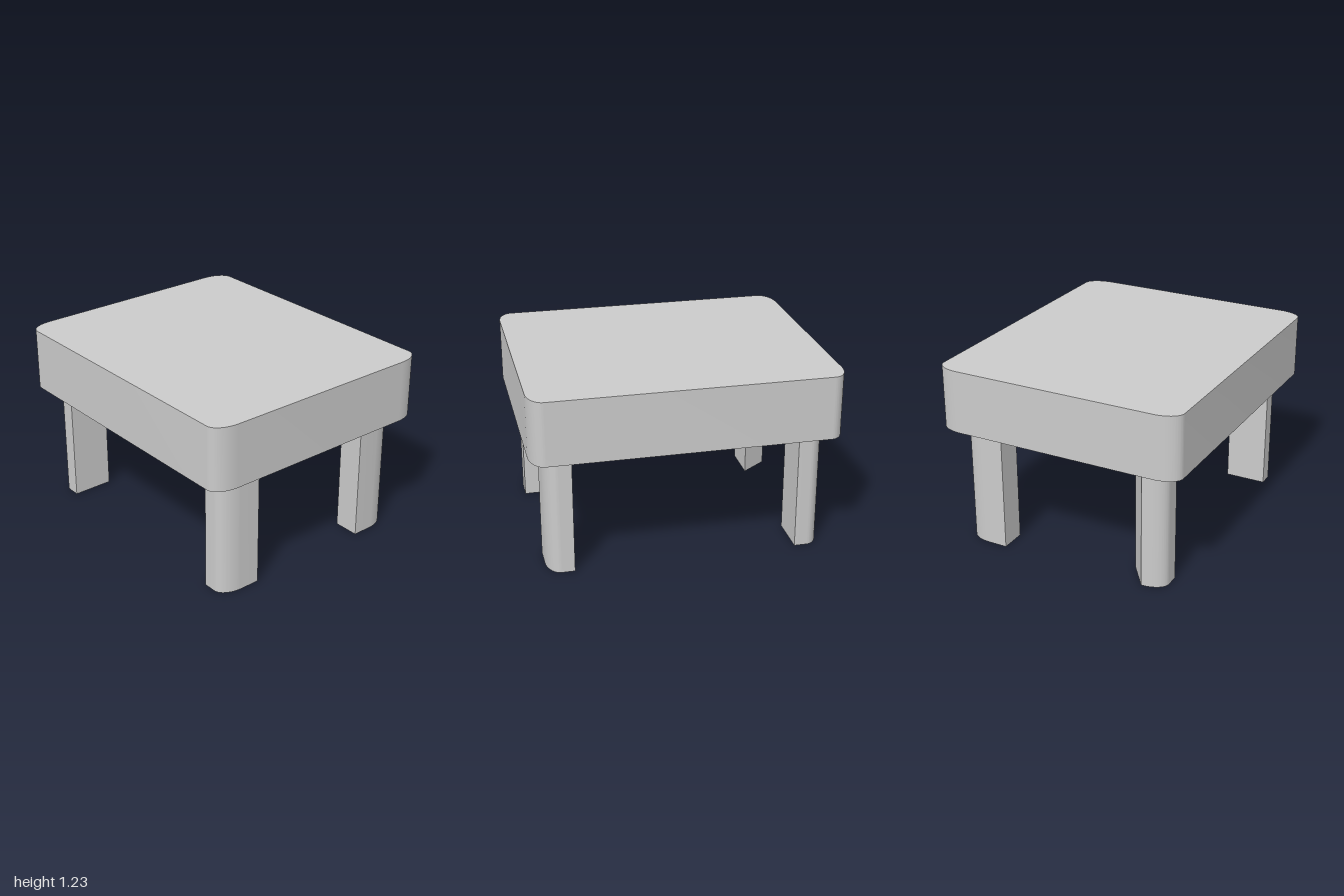
import * as THREE from 'three';
import { toCreasedNormals } from 'three/addons/utils/BufferGeometryUtils.js';

const material = new THREE.MeshStandardMaterial({ color: 0xcccccc });

// Corners run counter-clockwise, as [x sign, z sign].
const CORNERS = [[1, 1], [-1, 1], [-1, -1], [1, -1]];

// Upright block over a rectangle; isRound(sx, sz) picks the corners cut to an elliptical arc.
function block(name, width, depth, y0, y1, rx, rz, isRound) {
  const shape = new THREE.Shape();
  CORNERS.forEach(([sx, sz], i) => {
    const x = sx * width / 2, z = sz * depth / 2;
    if (isRound(sx, sz)) {
      const start = i * Math.PI / 2;
      shape.absellipse(x - sx * rx, z - sz * rz, rx, rz, start, start + Math.PI / 2, false, 0);
    } else if (i === 0) {
      shape.moveTo(x, z);
    } else {
      shape.lineTo(x, z);
    }
  });
  shape.closePath();

  const extruded = new THREE.ExtrudeGeometry(shape, { depth: y1 - y0, bevelEnabled: false, curveSegments: 12 });
  extruded.rotateX(-Math.PI / 2); // shape y becomes -z
  extruded.translate(0, y0, 0);
  const mesh = new THREE.Mesh(toCreasedNormals(extruded, 0.5), material);
  mesh.name = name;
  return mesh;
}

export function createModel() {
  const model = new THREE.Group();
  model.name = 'table';

  // Thick top with all four corners rounded
  model.add(block('tableTop', 1.68, 2, 0.81, 1.23, 0.16, 0.095, () => true));

  // Four legs, each rounded only on its outward corner
  for (const [sx, sz] of CORNERS) {
    const name = (sz > 0 ? 'front' : 'back') + (sx > 0 ? 'Left' : 'Right') + 'Leg';
    const leg = block(name, 0.28, 0.175, 0, 0.81, 0.15, 0.09, (cx, cy) => cx === sx && cy === -sz);
    leg.position.set(sx * 0.575, 0, sz * 0.82);
    model.add(leg);
  }
  return model;
}
